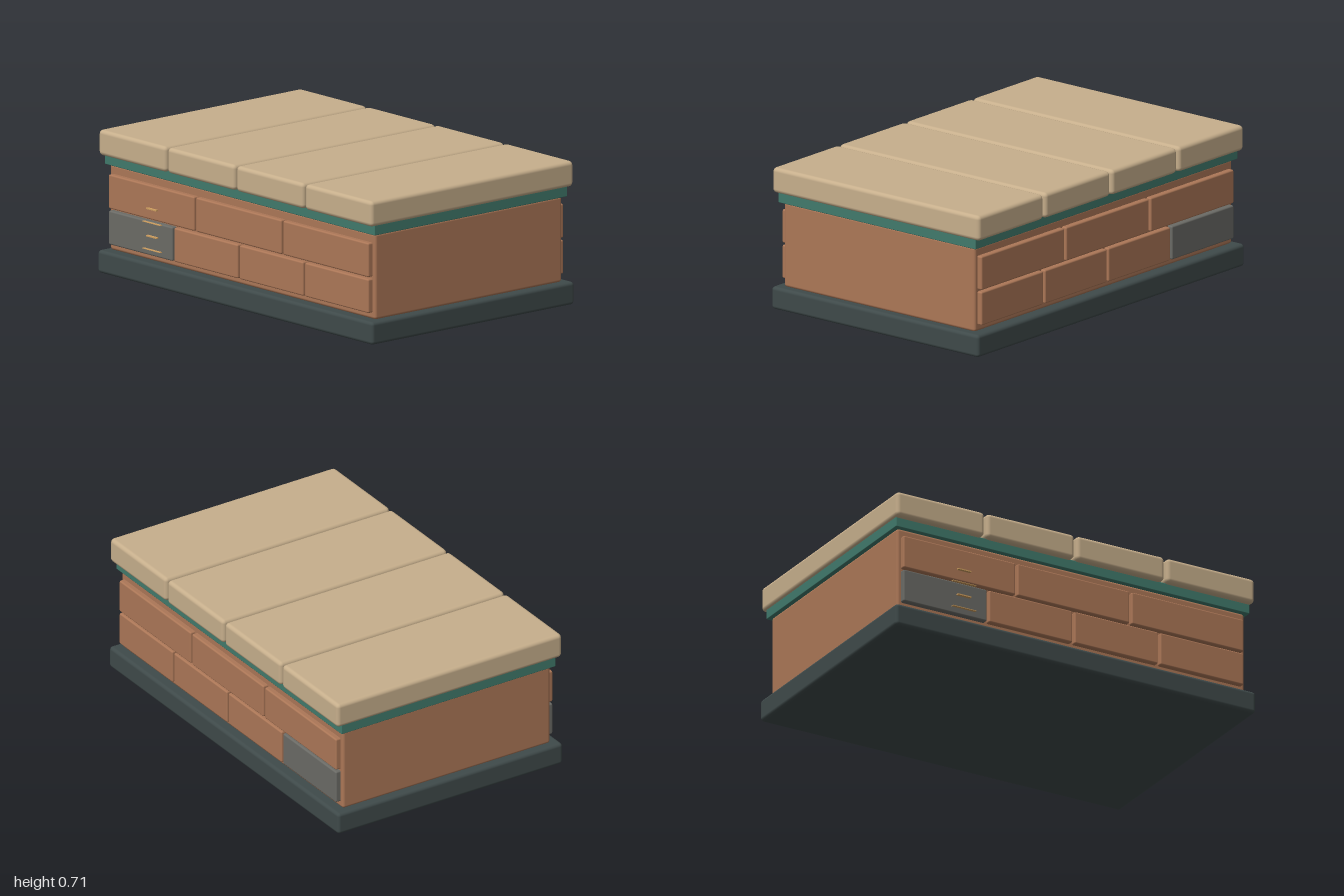
import * as THREE from 'three';
import { RoundedBoxGeometry } from 'three/addons/geometries/RoundedBoxGeometry.js';

const mat = (name, color) => new THREE.MeshStandardMaterial({ name, color });

export function createModel() {
  const model = new THREE.Group();
  model.name = 'slabToppedBlock';
  const slate = mat('slate', 0x3f4a4a);
  const brick = mat('terracotta', 0xac7757);
  const teal = mat('teal', 0x417a6c);
  const sand = mat('sand', 0xc7af8c);
  const grey = mat('grey', 0x6b6b66);
  const gold = mat('gold', 0xd0a060);

  // Box between two corners, with softened edges when r > 0
  function block(name, material, [x0, x1], [y0, y1], [z0, z1], r = 0) {
    const w = x1 - x0, h = y1 - y0, d = z1 - z0;
    const geo = r ? new RoundedBoxGeometry(w, h, d, 2, r) : new THREE.BoxGeometry(w, h, d);
    const mesh = new THREE.Mesh(geo, material);
    mesh.name = name;
    mesh.position.set((x0 + x1) / 2, (y0 + y1) / 2, (z0 + z1) / 2);
    model.add(mesh);
  }

  // Stacked core
  block('plinth', slate, [-1, 1], [0, 0.112], [-0.645, 0.645], 0.017);
  block('body', brick, [-0.965, 0.965], [0.112, 0.535], [-0.595, 0.595], 0.014);
  block('trimBand', teal, [-0.982, 0.982], [0.533, 0.585], [-0.614, 0.614], 0.004);

  // Four top slabs
  for (let i = 0; i < 4; i++) {
    const c = -0.75 + i * 0.5;
    block('topSlab', sand, [c - 0.244, c + 0.244], [0.58, 0.706], [-0.645, 0.645], 0.02);
  }

  // Two courses of raised bricks on the front and back; the first low one is grey
  const courses = [{ count: 4, y: [0.145, 0.312] }, { count: 3, y: [0.322, 0.49] }];
  for (const side of [1, -1]) {
    const z = side > 0 ? [0.575, 0.622] : [-0.622, -0.575];
    for (const { count, y } of courses) {
      const pitch = 1.902 / count;
      for (let i = 0; i < count; i++) {
        const x = -0.951 + i * pitch;
        const material = count === 4 && i === 0 ? grey : brick;
        block('brick', material, [x + 0.006, x + pitch - 0.006], y, z, 0.008);
      }
    }
  }

  // Thin strips standing just off the front
  [[0.378, 0.036, 0.003], [0.31, 0.065, 0.0015], [0.243, 0.038, 0.003], [0.177, 0.065, 0.0015]]
    .forEach(([y, half, t]) => block('frontStrip', gold,
      [-0.615 - half, -0.615 + half], [y - t, y + t], [0.625, 0.639]));

  return model;
}
